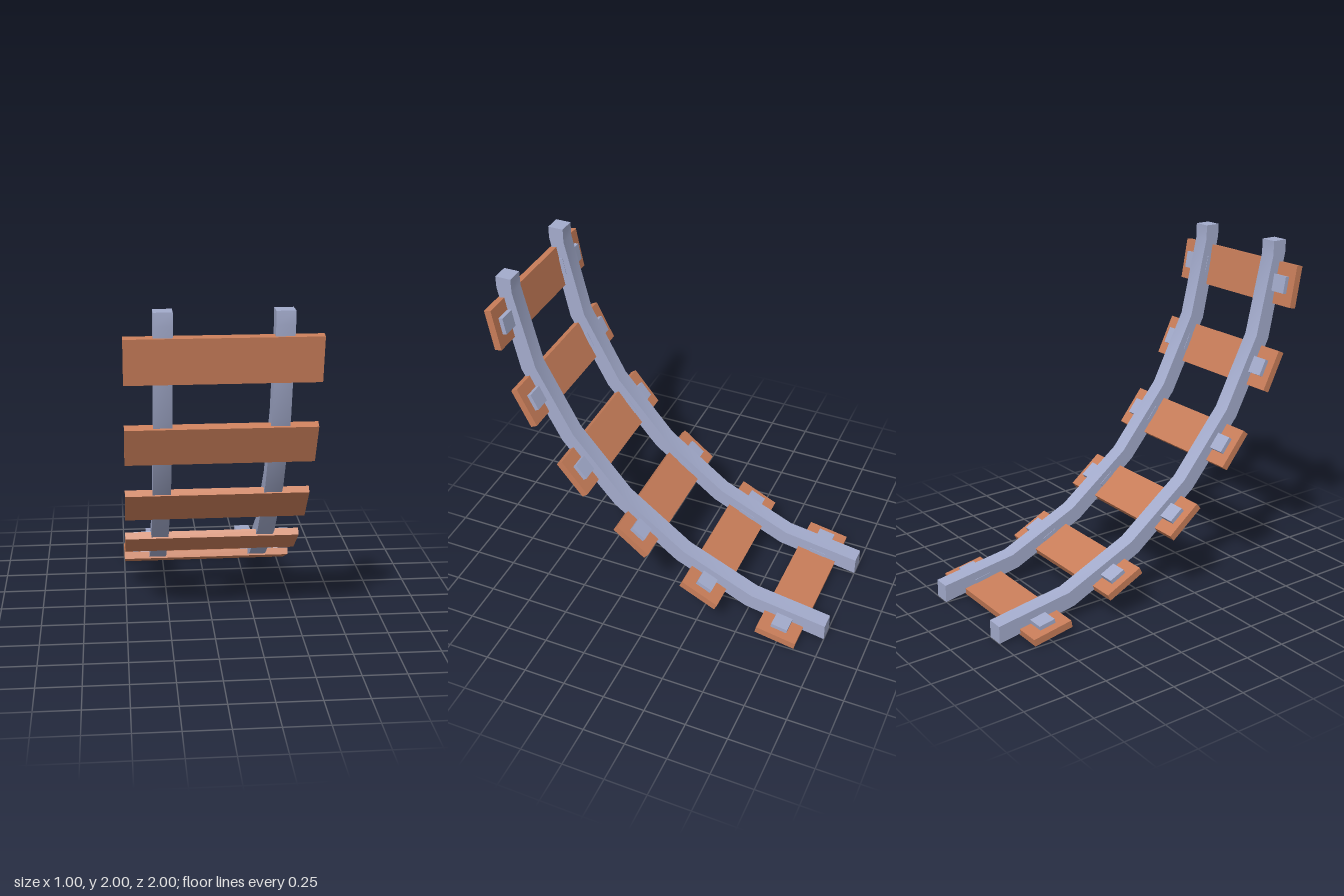
import * as THREE from 'three';
import { toCreasedNormals } from 'three/addons/utils/BufferGeometryUtils.js';

export function createModel() {
  const model = new THREE.Group();
  model.name = 'curvedTrack';

  const steel = new THREE.MeshStandardMaterial({ color: 0xa3abcc });
  steel.name = 'steel';
  const wood = new THREE.MeshStandardMaterial({ color: 0xc87d59 });
  wood.name = 'wood';

  // Rail side profile as [z, y]: outer edge downwards, then inner edge back up
  const outer = [[1, 2], [1, 1.93], [0.893, 1.42], [0.662, 0.976], [0.34, 0.596], [-0.056, 0.29], [-0.507, 0.083], [-1, 0]];
  const inner = [[-1, 0.104], [-0.54, 0.174], [-0.105, 0.37], [0.276, 0.66], [0.587, 1.035], [0.8, 1.45], [0.907, 1.917], [0.907, 2]];
  const profile = new THREE.Shape([...outer, ...inner].map(([z, y]) => new THREE.Vector2(z, y)));
  const railWidth = 0.098;
  const railGeometry = toCreasedNormals(
    new THREE.ExtrudeGeometry(profile, { depth: railWidth, bevelEnabled: false })
      .translate(0, 0, -railWidth / 2)
      .rotateY(-Math.PI / 2),
    0.6
  );
  for (const side of [-1, 1]) {
    const rail = new THREE.Mesh(railGeometry, steel);
    rail.name = side > 0 ? 'leftRail' : 'rightRail';
    rail.position.x = side * 0.302;
    model.add(rail);
  }

  // Sleepers with a fixing plate under each rail: [z, y, lean from vertical in degrees]
  const sleepers = [
    [0.956, 1.75, 10], [0.807, 1.267, 26], [0.531, 0.837, 38.6],
    [0.169, 0.476, 51.4], [-0.26, 0.206, 64], [-0.745, 0.05, 80],
  ];
  const thickness = 0.042;
  const plankGeometry = new THREE.BoxGeometry(1, 0.247, thickness);
  const plateGeometry = new THREE.BoxGeometry(0.2, 0.1, 0.03);
  sleepers.forEach(([z, y, lean], i) => {
    const sleeper = new THREE.Group();
    sleeper.name = `sleeper${i + 1}`;
    sleeper.position.set(0, y, z);
    sleeper.rotation.x = THREE.MathUtils.degToRad(lean);

    const plank = new THREE.Mesh(plankGeometry, wood);
    plank.name = 'plank';
    sleeper.add(plank);

    for (const side of [-1, 1]) {
      const plate = new THREE.Mesh(plateGeometry, steel);
      plate.name = side > 0 ? 'leftPlate' : 'rightPlate';
      plate.position.set(side * 0.35, 0, -thickness / 2 - 0.01);
      sleeper.add(plate);
    }
    model.add(sleeper);
  });

  return model;
}
